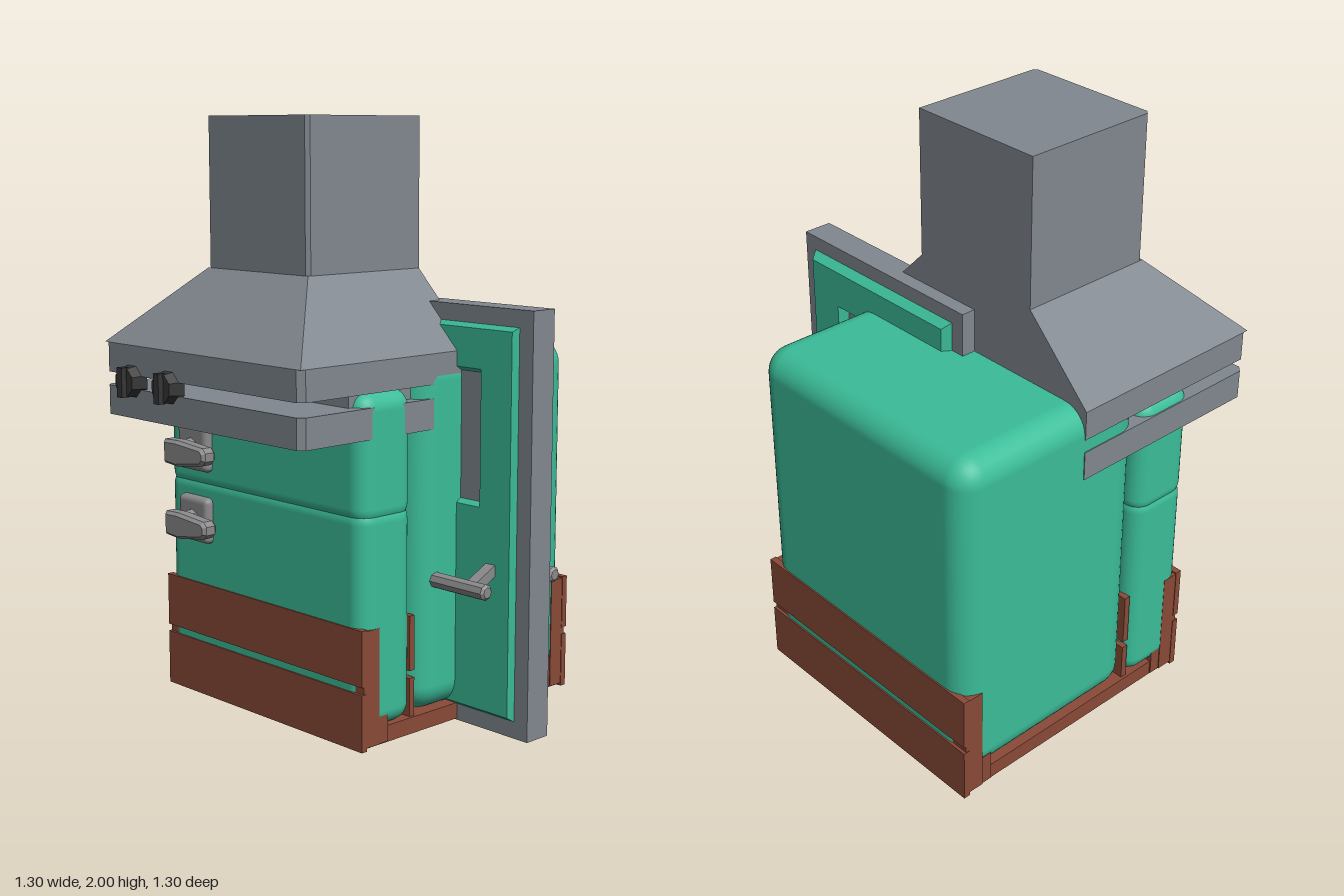
import * as THREE from 'three';
import { RoundedBoxGeometry } from 'three/addons/geometries/RoundedBoxGeometry.js';

const mat = (name, color, flatShading = false) => {
  const m = new THREE.MeshStandardMaterial({ color });
  m.name = name;
  m.flatShading = flatShading;
  return m;
};

export function createModel() {
  const green = mat('green enamel', 0x3bbd99);
  const grey = mat('grey metal', 0x81888f, true);
  const handleGrey = mat('handle grey', 0x8b8a8c, true);
  const brown = mat('brown wood', 0x8a4a38);
  const dark = mat('dark knob', 0x363636, true);

  const root = new THREE.Group();
  root.name = 'kitchenStack';

  const group = (name, parent = root) => {
    const g = new THREE.Group();
    g.name = name;
    parent.add(g);
    return g;
  };
  const add = (parent, name, geometry, material) => {
    const m = new THREE.Mesh(geometry, material);
    m.name = name;
    parent.add(m);
    return m;
  };
  // Boxes are given by their lower and upper corners
  const place = (geo, a, b) => geo.translate((a[0] + b[0]) / 2, (a[1] + b[1]) / 2, (a[2] + b[2]) / 2);
  const box = (a, b) => place(new THREE.BoxGeometry(b[0] - a[0], b[1] - a[1], b[2] - a[2]), a, b);
  const round = (a, b, r) => place(new RoundedBoxGeometry(b[0] - a[0], b[1] - a[1], b[2] - a[2], 4, r), a, b);
  const rect = (P, x0, y0, x1, y1) => {
    const p = new P();
    p.moveTo(x0, y0);
    p.lineTo(x1, y0);
    p.lineTo(x1, y1);
    p.lineTo(x0, y1);
    p.closePath();
    return p;
  };
  // Horizontal plate with small chamfered front corners
  const chamferPlate = (x0, x1, z0, z1, y0, y1, c) => {
    const s = new THREE.Shape([
      [x0, -z0], [x0, -z1 + c], [x0 + c, -z1], [x1 - c, -z1], [x1, -z1 + c], [x1, -z0],
    ].map(p => new THREE.Vector2(...p)));
    return new THREE.ExtrudeGeometry(s, { depth: y1 - y0, bevelEnabled: false })
      .rotateX(-Math.PI / 2).translate(0, y0, 0);
  };

  // Crate: floor, end runners, corner posts and slats
  const crate = group('crate');
  add(crate, 'crateFloor', box([-0.64, 0.005, -0.63], [0.34, 0.06, 0.33]), brown);
  for (const end of [1, -1]) {
    const z = v => -0.15 + end * v;
    const span = (v0, v1) => [Math.min(z(v0), z(v1)), Math.max(z(v0), z(v1))];
    const [r0, r1] = span(0.38, 0.495);
    add(crate, 'runner', box([-0.645, 0.01, r0], [0.345, 0.12, r1]), brown);
    const [p0, p1] = span(0.42, 0.49);
    for (const x of [-0.648, 0.278]) {
      add(crate, 'cornerPost', box([x, 0.01, p0], [x + 0.07, 0.395, p1]), brown);
    }
    const [s0, s1] = span(0.477, 0.5);
    add(crate, 'lowerSlat', box([-0.65, 0, s0], [0.35, 0.19, s1]), brown);
    add(crate, 'upperSlat', box([-0.65, 0.215, s0], [0.35, 0.4, s1]), brown);
  }
  // Slats between the cabinet and its doors
  add(crate, 'middleLowerSlat', box([-0.63, 0.04, 0.095], [0.33, 0.19, 0.117]), brown);
  add(crate, 'middleUpperSlat', box([-0.63, 0.215, 0.095], [0.33, 0.4, 0.117]), brown);

  // Refrigerator cabinet and its two front doors
  const fridge = group('refrigerator');
  add(fridge, 'cabinet', round([-0.647, 0.055, -0.645], [0.347, 1.25, 0.1], 0.09), green);
  add(fridge, 'lowerDoor', round([-0.647, 0.055, 0.112], [0.347, 0.79, 0.345], 0.06), green);
  add(fridge, 'upperDoor', round([-0.647, 0.72, 0.112], [0.347, 1.15, 0.345], 0.06), green);

  // Badge and door levers
  const badge = new THREE.CylinderGeometry(0.05, 0.05, 0.02, 4).rotateX(Math.PI / 2);
  add(fridge, 'badge', badge.translate(-0.15, 1.012, 0.352), handleGrey);
  const leverShape = new THREE.Shape([
    [-0.5, -0.035], [-0.44, -0.04], [-0.31, -0.02], [-0.3, -0.01],
    [-0.3, 0.01], [-0.31, 0.02], [-0.44, 0.03], [-0.5, 0.028],
  ].map(p => new THREE.Vector2(...p)));
  for (const y of [0.88, 0.63]) {
    const lever = group('doorLever', fridge);
    lever.position.y = y;
    add(lever, 'leverPlate', round([-0.555, -0.08, 0.33], [-0.395, 0.08, 0.374], 0.02), handleGrey);
    const stem = new THREE.CylinderGeometry(0.03, 0.036, 0.06, 8).rotateX(Math.PI / 2);
    add(lever, 'leverStem', stem.translate(-0.475, 0, 0.4), handleGrey);
    const arm = new THREE.ExtrudeGeometry(leverShape,
      { depth: 0.035, bevelSize: 0.01, bevelThickness: 0.012, bevelSegments: 1 });
    add(lever, 'leverArm', arm.translate(0, 0, 0.422), handleGrey);
  }

  // Extractor hood: lower tray, rim, sloped canopy and chimney
  const hood = group('extractorHood');
  add(hood, 'hoodTray', chamferPlate(-0.65, 0.345, -0.15, 0.595, 1.005, 1.105, 0.02), grey);
  add(hood, 'hoodCore', box([-0.6, 1.1, -0.14], [0.3, 1.16, 0.36]), grey);
  add(hood, 'hoodRim', chamferPlate(-0.65, 0.345, -0.15, 0.595, 1.15, 1.25, 0.02), grey);
  const canopy = box([-0.65, 1.25, -0.15], [0.345, 1.5, 0.595]);
  const pos = canopy.attributes.position;
  for (let i = 0; i < pos.count; i++) {
    if (pos.getY(i) < 1.4) continue;
    pos.setX(i, pos.getX(i) > 0 ? 0.1 : -0.4);
    if (pos.getZ(i) > 0) pos.setZ(i, 0.345);
  }
  canopy.computeVertexNormals();
  add(hood, 'hoodCanopy', canopy, grey);
  add(hood, 'chimney', chamferPlate(-0.4, 0.1, -0.15, 0.345, 1.5, 2, 0.012), grey);

  // Octagonal control knobs with a grip
  for (const x of [-0.5, -0.3]) {
    const knob = group('controlKnob', hood);
    knob.position.set(x, 1.13, 0.59);
    const dial = new THREE.CylinderGeometry(0.05, 0.06, 0.055, 8).rotateX(Math.PI / 2).rotateZ(Math.PI / 8);
    add(knob, 'knobDial', dial.translate(0, 0, 0.012), dark);
    add(knob, 'knobGrip', box([-0.014, -0.05, 0.03], [0.014, 0.05, 0.058]), dark);
  }

  // Room door: frame slab and a raised panel with a bevelled window
  const door = group('roomDoor');
  add(door, 'doorFrame', box([-0.15, 0, -0.2], [0.65, 1.4, -0.1]), grey);
  const panel = rect(THREE.Shape, -0.08, 0.07, 0.58, 1.33);
  panel.holes.push(rect(THREE.Path, 0.05, 0.75, 0.45, 1.2));
  const panelGeo = new THREE.ExtrudeGeometry(panel,
    { depth: 0.09, bevelSize: 0.02, bevelThickness: 0.03, bevelSegments: 1 });
  add(door, 'doorPanel', panelGeo.translate(0, 0, -0.2), green);

  // Pull bars on both faces of the room door
  for (const [zDoor, zBar] of [[-0.09, 0.012], [-0.22, -0.318]]) {
    const pull = group('doorPull', door);
    const bar = new THREE.CylinderGeometry(0.027, 0.027, 0.29, 8).rotateZ(Math.PI / 2);
    add(pull, 'pullBar', bar.translate(0.42, 0.505, zBar), handleGrey);
    const tip = new THREE.CylinderGeometry(0.018, 0.027, 0.008, 8).rotateZ(-Math.PI / 2);
    add(pull, 'pullTip', tip.translate(0.569, 0.505, zBar), handleGrey);
    const a = new THREE.Vector3(0.5, 0.555, zDoor);
    const b = new THREE.Vector3(0.5, 0.505, zBar);
    const stem = add(pull, 'pullStem', new THREE.BoxGeometry(0.04, 0.035, a.distanceTo(b)), handleGrey);
    stem.position.copy(a).lerp(b, 0.5);
    stem.lookAt(b);
  }

  return root;
}
